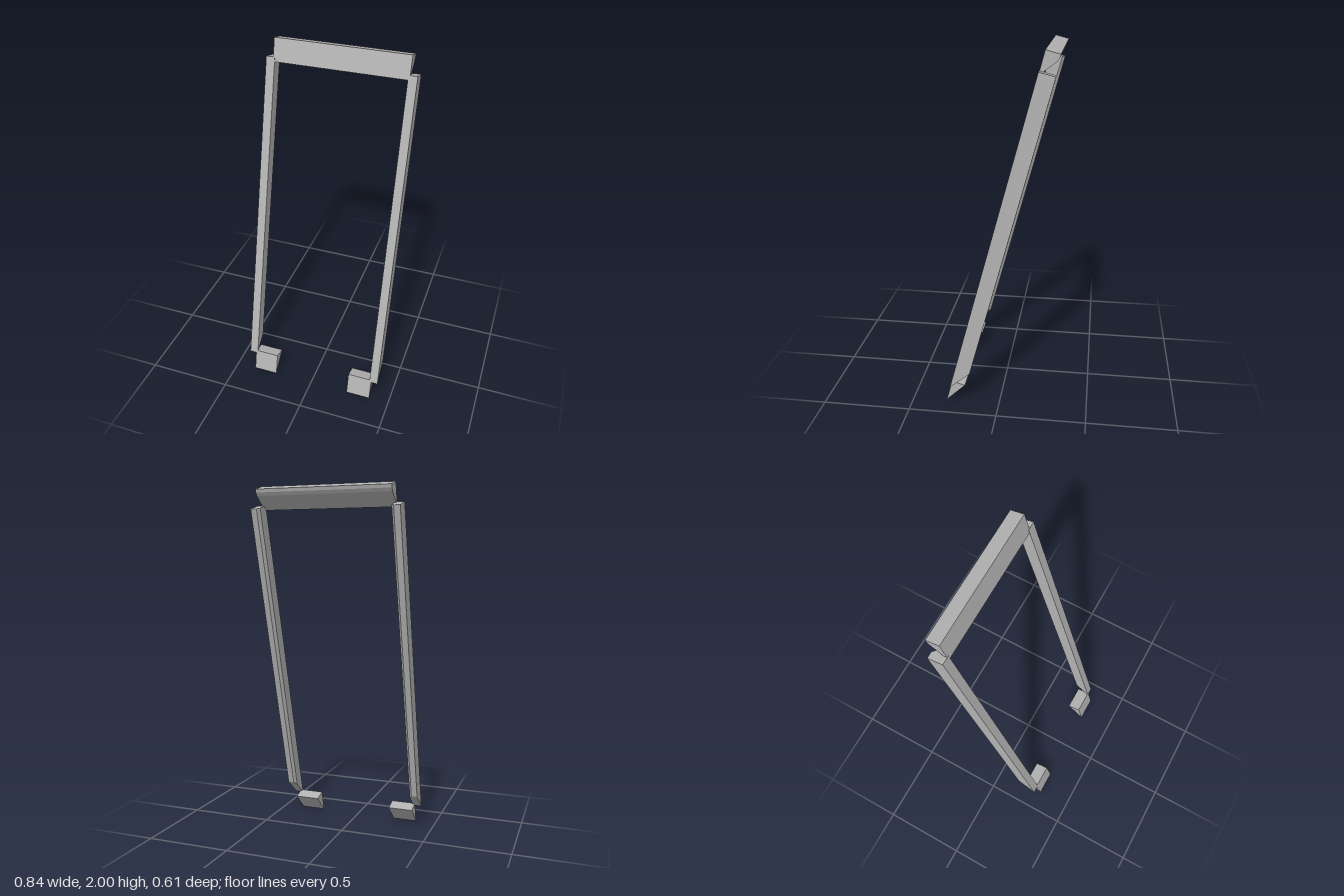
import * as THREE from 'three';

const shapeOf = (pts) => new THREE.Shape(pts.map(([a, b]) => new THREE.Vector2(a, b)));

// Prism running along x from x0 to x1, with a side profile of [z, y] points
function sidePrism(profile, x0, x1) {
  const g = new THREE.ExtrudeGeometry(shapeOf(profile), { depth: x1 - x0, bevelEnabled: false });
  g.rotateY(-Math.PI / 2);
  g.translate(x1, 0, 0);
  return g;
}

// Leaning post: section of [x, t] points (t = 0 front, 1 back) swept between two slanted ends
function postGeometry(section, bottom, top) {
  const g = new THREE.ExtrudeGeometry(shapeOf(section), { depth: 1, bevelEnabled: false });
  const p = g.attributes.position;
  const { lerp } = THREE.MathUtils;
  for (let i = 0; i < p.count; i++) {
    const t = p.getY(i), s = p.getZ(i);
    const at = (k) => lerp(
      lerp(bottom.front[k], bottom.back[k], t),
      lerp(top.front[k], top.back[k], t), s);
    p.setXYZ(i, p.getX(i), at(1), at(0));
  }
  g.computeVertexNormals();
  return g;
}

export function createModel() {
  const group = new THREE.Group();
  const grey = new THREE.MeshStandardMaterial({ color: 0xb2b2b2 });
  grey.name = 'frame grey';
  const add = (name, geometry) => {
    const mesh = new THREE.Mesh(geometry, grey);
    mesh.name = name;
    group.add(mesh);
  };

  // Header with a sloping underside
  add('header', sidePrism(
    [[-0.198, 1.875], [-0.231, 2.0], [-0.307, 1.98], [-0.302, 1.962], [-0.29, 1.945]], -0.38, 0.38));

  // Posts and wedge feet, mirrored
  const bottom = { front: [0.277, 0.11], back: [0.162, 0.207] };
  const top = { front: [-0.203, 1.9], back: [-0.288, 1.878] };
  for (const [side, sign] of [['left', 1], ['right', -1]]) {
    const section = [[0.37, 0], [0.42, 0], [0.42, 1], [0.385, 1], [0.37, 0.82]]
      .map(([x, t]) => [x * sign, t]);
    add(side + 'Post', postGeometry(section, bottom, top));

    const foot = [[0.306, 0], [0.273, 0.125], [0.197, 0.105]];
    add(side + 'Foot', sign > 0 ? sidePrism(foot, 0.235, 0.38) : sidePrism(foot, -0.38, -0.235));
  }
  return group;
}
